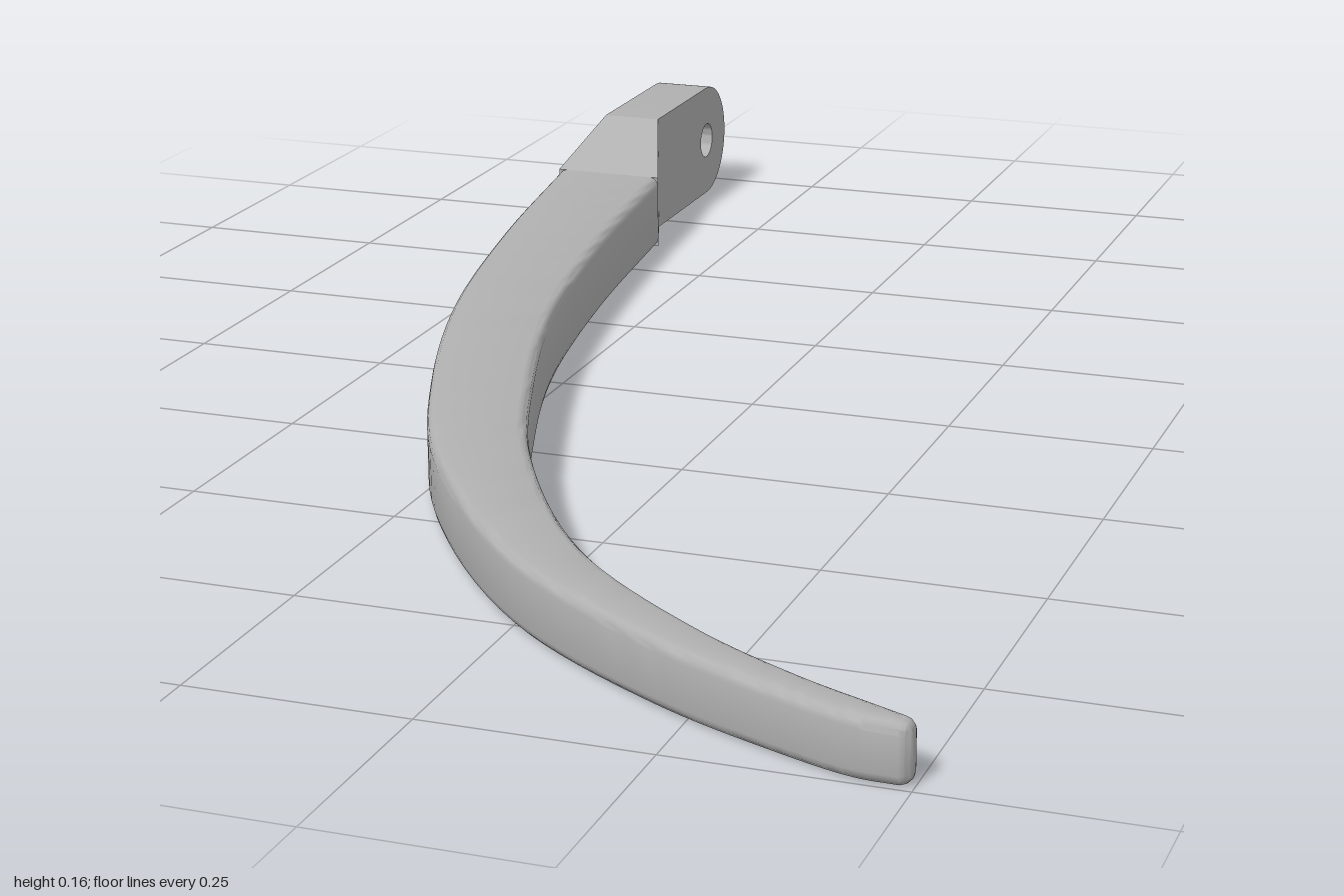
import * as THREE from 'three';
import { toCreasedNormals } from 'three/addons/utils/BufferGeometryUtils.js';

// Skin a list of closed rings (counter-clockwise seen from the last ring's side)
function loft(rings, capEnds) {
  const n = rings[0].length, pos = [], idx = [];
  rings.forEach(r => r.forEach(p => pos.push(p.x, p.y, p.z)));
  for (let i = 0; i < rings.length - 1; i++) {
    for (let j = 0; j < n; j++) {
      const k = (j + 1) % n, a = i * n + j, b = i * n + k, c = b + n, d = a + n;
      idx.push(a, b, c, a, c, d);
    }
  }
  if (capEnds) {
    const last = (rings.length - 1) * n;
    for (let j = 1; j < n - 1; j++) {
      idx.push(last, last + j, last + j + 1);
      idx.push(0, j + 1, j);
    }
  }
  const g = new THREE.BufferGeometry();
  g.setAttribute('position', new THREE.Float32BufferAttribute(pos, 3));
  g.setIndex(idx);
  return toCreasedNormals(g, 0.6);
}

// Rounded rectangle standing between plan points o and i, from y0 to y1
function roundedRing(o, i, y0, y1, radius) {
  const w = o.distanceTo(i), r = Math.min(radius, w * 0.45), ring = [];
  const corners = [[w - r, y0 + r, -1], [w - r, y1 - r, 0], [r, y1 - r, 1], [r, y0 + r, 2]];
  for (const [u, v, quarter] of corners) {
    for (let s = 0; s <= 3; s++) {
      const a = (quarter + s / 3) * Math.PI / 2;
      const p = o.clone().lerp(i, (u + r * Math.cos(a)) / w);
      p.y = v + r * Math.sin(a);
      ring.push(p);
    }
  }
  return ring;
}

const planCurve = pts => new THREE.CatmullRomCurve3(pts.map(([x, z]) => new THREE.Vector3(x, 0, z)));

// Long curved, tapering blade with a rounded tip
function bladeGeometry() {
  const outer = planCurve([[-0.505, -0.62], [-0.457, -0.3], [-0.395, 0], [-0.31, 0.26], [-0.2, 0.5],
    [0, 0.755], [0.2, 0.895], [0.35, 0.965], [0.44, 0.996], [0.486, 0.999]]);
  const inner = planCurve([[-0.355, -0.62], [-0.317, -0.3], [-0.262, 0], [-0.192, 0.23], [-0.1, 0.46],
    [0.06, 0.705], [0.24, 0.852], [0.37, 0.922], [0.45, 0.954], [0.486, 0.968]]);
  const rings = [], steps = 72, r = 0.012, length = outer.getLength();
  let run = 0, prev = outer.getPoint(0);
  for (let s = 0; s <= steps; s++) {
    const o = outer.getPoint(s / steps), i = inner.getPoint(s / steps);
    run += o.distanceTo(prev);
    prev = o;
    rings.push(roundedRing(o, i, 0, 0.1 - 0.035 * Math.pow(Math.min(run / length, 1), 1.5), r));
  }
  const o = outer.getPoint(1), i = inner.getPoint(1), across = i.clone().sub(o).normalize();
  for (let k = 1; k <= 3; k++) {
    const a = k * Math.PI / 6, inset = r * (1 - Math.cos(a));
    const shift = new THREE.Vector3(r * Math.sin(a), 0, 0);
    rings.push(roundedRing(
      o.clone().add(shift).addScaledVector(across, inset),
      i.clone().add(shift).addScaledVector(across, -inset),
      inset, 0.065 - inset, r));
  }
  return loft(rings, true);
}

// Four-cornered section of the neck
const boxRing = (x0, x1, h, z) => [[x0, 0], [x1, 0], [x1, h], [x0, h]].map(([x, y]) => new THREE.Vector3(x, y, z));

// Upright lug with a full round end and a pin hole
function lugGeometry() {
  const s = new THREE.Shape();
  s.moveTo(0.715, 0);
  s.lineTo(0.92, 0);
  s.absarc(0.92, 0.08, 0.08, -Math.PI / 2, Math.PI / 2, false);
  s.lineTo(0.715, 0.16);
  s.closePath();
  const hole = new THREE.Path();
  hole.absarc(0.92, 0.08, 0.025, 0, Math.PI * 2, true);
  s.holes.push(hole);
  const g = new THREE.ExtrudeGeometry(s, { depth: 0.08, bevelEnabled: false, curveSegments: 24 });
  g.rotateY(Math.PI / 2); // profile now runs toward -z, thickness along +x
  g.translate(-0.47, 0, 0);
  return toCreasedNormals(g, 0.6);
}

export function createModel() {
  const grey = new THREE.MeshStandardMaterial({ color: 0xb0b0b0 });
  grey.name = 'grey metal';
  const group = new THREE.Group();
  group.name = 'curvedArm';
  const add = (name, geometry) => {
    const mesh = new THREE.Mesh(geometry, grey);
    mesh.name = name;
    group.add(mesh);
  };
  add('blade', bladeGeometry());
  add('neck', loft([boxRing(-0.47, -0.39, 0.16, -0.715), boxRing(-0.505, -0.355, 0.1, -0.62)], true));
  add('lug', lugGeometry());
  return group;
}
